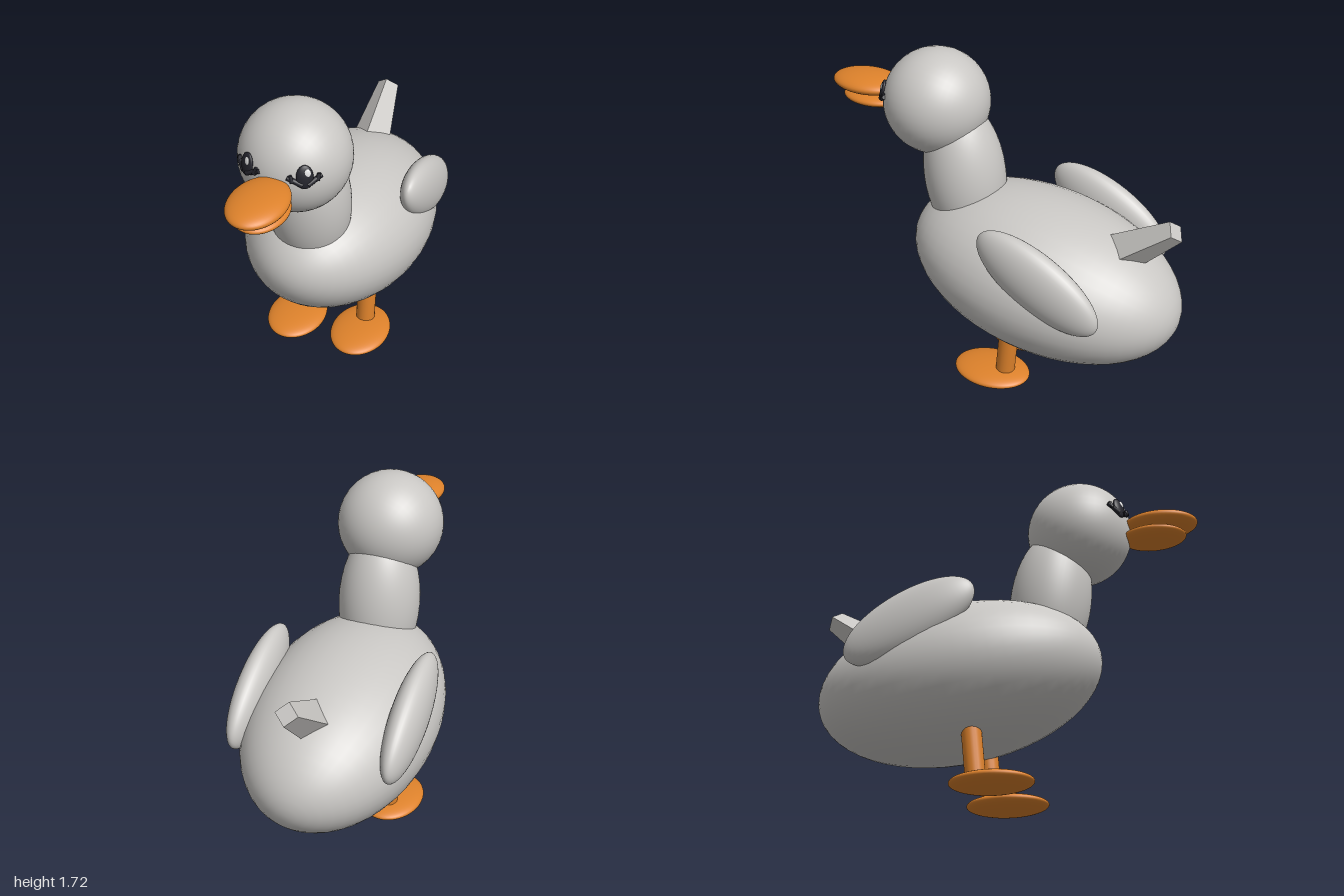
import * as THREE from 'three';

const material = (name, color) => {
  const m = new THREE.MeshStandardMaterial({ color });
  m.name = name;
  return m;
};

export function createModel() {
  const model = new THREE.Group();
  model.name = 'duck';
  const grey = material('grey feathers', 0xc9c7c4);
  const orange = material('orange', 0xde822b);
  const black = material('black', 0x24242c);
  const white = material('white', 0xf4f4f4);

  const add = (parent, name, geometry, mat, position, tilt = 0) => {
    const mesh = new THREE.Mesh(geometry, mat);
    mesh.name = name;
    mesh.position.set(...position);
    mesh.rotation.x = tilt;
    parent.add(mesh);
    return mesh;
  };
  const ellipsoid = (rx, ry, rz) =>
    new THREE.SphereGeometry(1, 40, 28).rotateX(Math.PI / 2).scale(rx, ry, rz);

  // Rod between two points
  const rod = (parent, name, from, to, r0, r1, mat) => {
    const a = new THREE.Vector3(...from), b = new THREE.Vector3(...to);
    const d = b.clone().sub(a);
    const mesh = add(parent, name, new THREE.CylinderGeometry(r1, r0, d.length(), 20), mat,
      a.clone().add(b).multiplyScalar(0.5).toArray());
    mesh.quaternion.setFromUnitVectors(new THREE.Vector3(0, 1, 0), d.normalize());
  };

  // Body, neck and head
  add(model, 'body', ellipsoid(0.477, 0.396, 0.742), grey, [0, 0.643, -0.26], -0.15);
  add(model, 'neck', ellipsoid(0.212, 0.4, 0.21), grey, [0, 1.07, 0.22], 0.135);
  add(model, 'head', ellipsoid(0.273, 0.273, 0.273), grey, [0, 1.445, 0.38]);

  // Four-sided tail, ridge upwards
  const tailGeometry = new THREE.CylinderGeometry(0.058, 0.142, 0.6, 4).toNonIndexed();
  tailGeometry.computeVertexNormals();
  add(model, 'tail', tailGeometry, grey, [0, 0.894, -0.711], -0.934);

  // Beak
  add(model, 'upperBeak', ellipsoid(0.138, 0.049, 0.195), orange, [0, 1.455, 0.805]);
  add(model, 'lowerBeak', ellipsoid(0.125, 0.038, 0.17), orange, [0, 1.385, 0.768]);

  for (const [side, s] of [['left', 1], ['right', -1]]) {
    // Wing
    add(model, side + 'Wing', ellipsoid(0.088, 0.162, 0.364), grey, [s * 0.4, 0.832, -0.422], -0.485);

    // Leg and foot
    rod(model, side + 'Leg', [s * 0.187, 0.05, -0.125], [s * 0.187, 0.42, -0.16], 0.051, 0.051, orange);
    add(model, side + 'Foot', ellipsoid(0.158, 0.042, 0.21), orange, [s * 0.187, 0.042, -0.048]);

    // Eye set on the surface of the head, with highlight and two lashes
    const eye = new THREE.Group();
    eye.name = side + 'Eye';
    eye.position.set(s * 0.14, 1.5, 0.607);
    eye.rotation.set(-0.2, s * 0.553, 0, 'YXZ');
    model.add(eye);
    add(eye, 'pupil', ellipsoid(0.04, 0.058, 0.016), black, [0, 0, 0.002]);
    add(eye, 'highlight', ellipsoid(0.015, 0.02, 0.005), white, [0.012, 0.022, 0.014]);
    for (const e of [-1, 1]) {
      rod(eye, 'lash', [e * 0.012, -0.038, 0.005], [e * 0.08, 0.0, -0.008], 0.014, 0.011, black);
      rod(eye, 'lashTip', [e * 0.058, -0.022, 0.0], [e * 0.066, 0.012, 0.0], 0.011, 0.008, black);
    }
  }
  return model;
}
